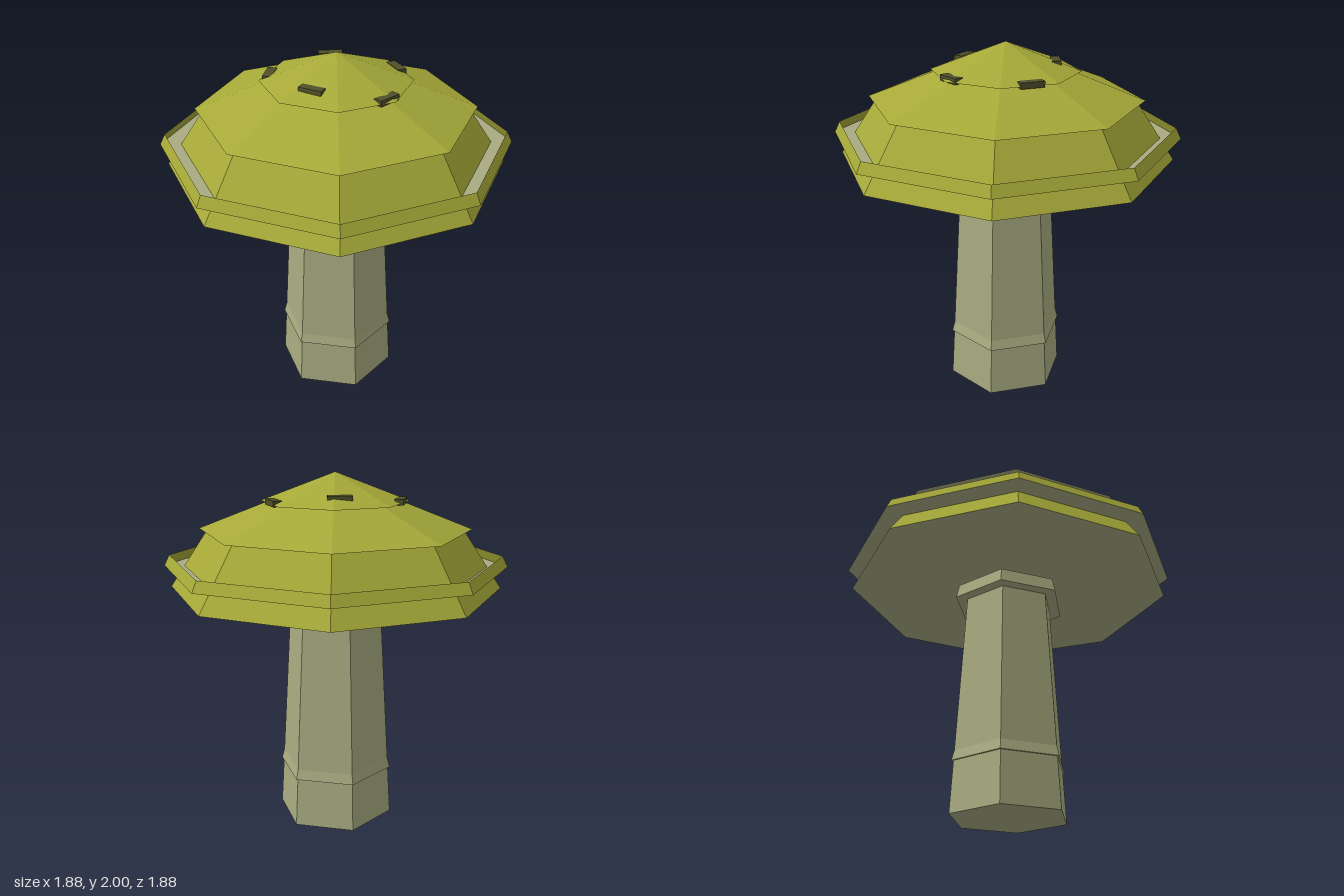
import * as THREE from 'three';

export function createModel() {
  const model = new THREE.Group();
  model.name = 'mushroom';

  const mat = (name, color) => {
    const m = new THREE.MeshStandardMaterial({ color, flatShading: true, side: THREE.DoubleSide });
    m.name = name;
    return m;
  };
  const capOlive = mat('capOlive', 0xa6a938);
  const stemSage = mat('stemSage', 0xa8ab80);
  const spotDark = mat('spotDark', 0x50502a);

  const add = (name, geometry, material, parent, x = 0, y = 0, z = 0) => {
    const mesh = new THREE.Mesh(geometry, material);
    mesh.name = name;
    mesh.position.set(x, y, z);
    parent.add(mesh);
    return mesh;
  };

  // Six-sided stem with two flared collars, corners pointing left and right
  const stem = new THREE.Group();
  stem.name = 'stem';
  model.add(stem);
  const stemParts = [
    // name, bottom y, top y, bottom radius, top radius
    ['stalk', 0, 1.37, 0.335, 0.254],
    ['lowerCollar', 0.285, 0.345, 0.33, 0.314],
    ['upperCollar', 1.26, 1.34, 0.33, 0.312],
  ];
  for (const [name, y0, y1, r0, r1] of stemParts) {
    add(name, new THREE.CylinderGeometry(r1, r0, y1 - y0, 6, 1, false, Math.PI / 6),
      stemSage, stem, 0, (y0 + y1) / 2, 0);
  }

  // Eight-sided cap tiers: open olive shells, each closed below by a pale disc
  const cap = new THREE.Group();
  cap.name = 'cap';
  model.add(cap);
  const turn = THREE.MathUtils.degToRad(11);
  const tiers = [
    ['skirt', 1.36, 1.69, 0.927, 0.705],
    ['rim', 1.48, 1.54, 0.96, 0.93],
    ['dome', 1.69, 1.845, 0.755, 0.358],
    ['crown', 1.845, 2, 0.408, 0],
  ];
  for (const [name, y0, y1, r0, r1] of tiers) {
    add(name, new THREE.CylinderGeometry(r1, r0, y1 - y0, 8, 1, true, turn),
      capOlive, cap, 0, (y0 + y1) / 2, 0);
    const disc = new THREE.CircleGeometry(r0, 8, -turn).rotateX(Math.PI / 2);
    add(name + 'Underside', disc, stemSage, cap, 0, y0, 0);
  }

  // Five dark slabs set into the crown, long side along the ring
  const spots = [
    // x, z, centre height
    [-0.36, 0, 1.851],
    [-0.08, 0.255, 1.888],
    [0.29, 0.21, 1.851],
    [0.29, -0.21, 1.851],
    [-0.08, -0.255, 1.888],
  ];
  for (const [x, z, y] of spots) {
    const spot = add('spot', new THREE.BoxGeometry(0.13, 0.032, 0.05), spotDark, cap, x, y, z);
    spot.rotation.y = Math.atan2(x, z);
  }

  return model;
}
